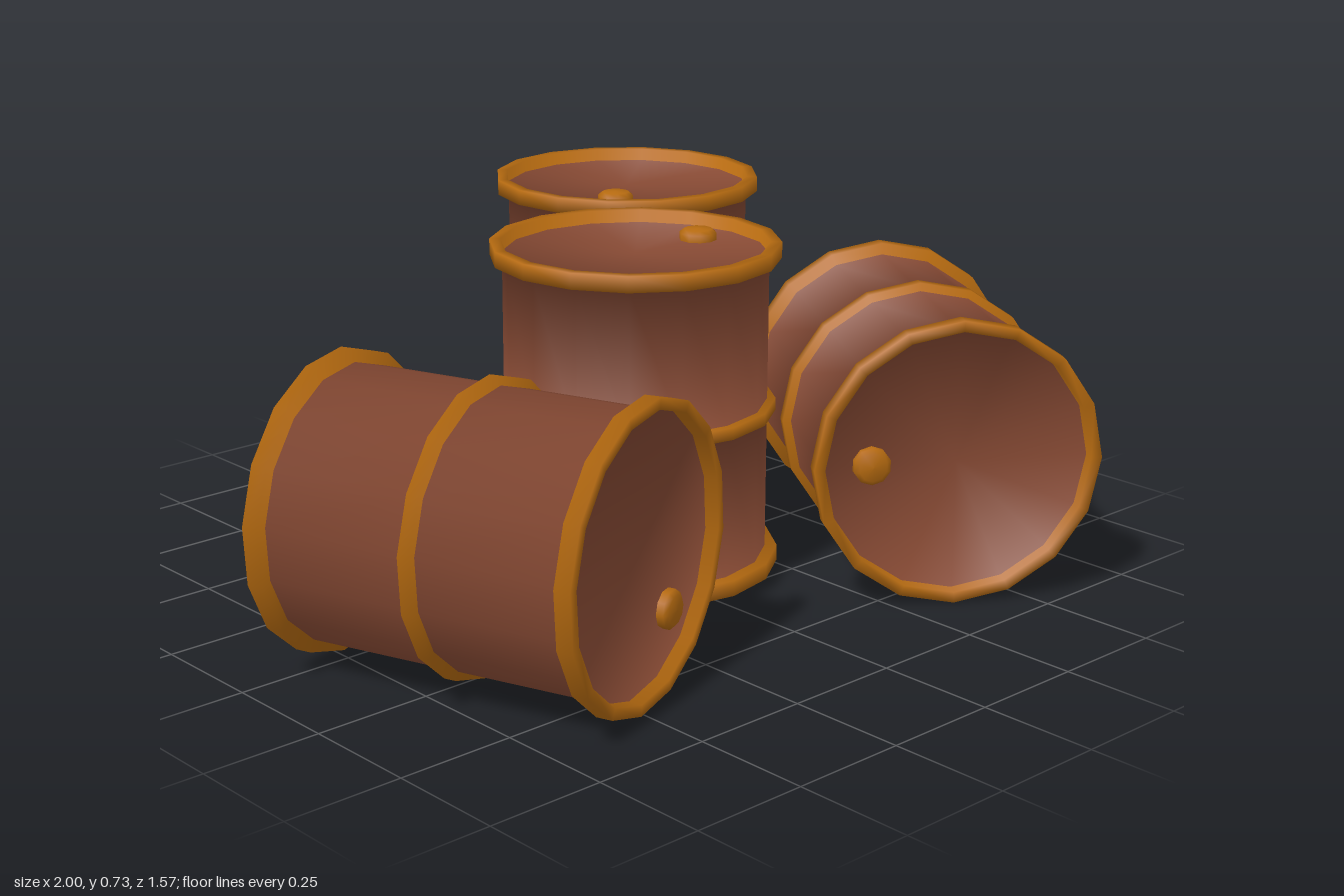
import * as THREE from 'three';

const SIDES = 16;

const rust = new THREE.MeshStandardMaterial({ color: 0x874a34 });
rust.name = 'rusty brown';
const ochre = new THREE.MeshStandardMaterial({ color: 0xb56a10 });
ochre.name = 'ochre hoop';

// Barrel half-section, from the bottom centre up to the top centre
const profile = [
  [0, -0.325], [0.28, -0.325],                                   // bottom lid
  [0.282, -0.352], [0.305, -0.352], [0.305, -0.318], [0.279, -0.318], // bottom hoop
  [0.279, -0.013], [0.297, -0.013], [0.297, 0.013], [0.279, 0.013],   // middle hoop
  [0.279, 0.318], [0.305, 0.318], [0.305, 0.352], [0.282, 0.352], // top hoop
  [0.28, 0.325], [0, 0.325],                                     // top lid
];

// Sections of the profile: name, first point, last point, material
const sections = [
  ['bottomLid', 0, 1, rust],
  ['bottomHoop', 1, 5, ochre],
  ['lowerWall', 5, 6, rust],
  ['middleHoop', 6, 9, ochre],
  ['upperWall', 9, 10, rust],
  ['topHoop', 10, 14, ochre],
  ['topLid', 14, 15, rust],
];

// Smooth normals: even average of the two neighbouring profile segments
function profileNormals(points) {
  const seg = points.slice(1).map(([r, y], i) =>
    new THREE.Vector2(y - points[i][1], points[i][0] - r).normalize());
  return points.map((p, i) => {
    const n = new THREE.Vector2();
    if (i > 0) n.add(seg[i - 1]);
    if (i < seg.length) n.add(seg[i]);
    return n.normalize();
  });
}

// Lathe one stretch of a profile, keeping normals continuous with its neighbours
function latheSection(points, from, to, sides) {
  const normals = profileNormals(points).slice(from, to + 1);
  const part = points.slice(from, to + 1).map(([r, y]) => new THREE.Vector2(r, y));
  const geometry = new THREE.LatheGeometry(part, sides);
  const attr = geometry.attributes.normal;
  for (let i = 0; i <= sides; i++) {
    const phi = (i / sides) * Math.PI * 2;
    normals.forEach((n, j) =>
      attr.setXYZ(i * normals.length + j, n.x * Math.sin(phi), n.y, n.x * Math.cos(phi)));
  }
  return geometry;
}

const sectionGeometries = sections.map(([, from, to]) => latheSection(profile, from, to, SIDES));

// Low rounded plug near the edge of the top lid
const plugProfile = [[0.04, 0], [0.04, 0.016], [0.03, 0.024], [0, 0.026]];
const plugGeometry = latheSection(plugProfile, 0, 3, 10);

function makeBarrel(name, spin) {
  const barrel = new THREE.Group();
  barrel.name = name;
  const body = new THREE.Group();
  body.name = 'barrelBody';
  body.rotation.y = THREE.MathUtils.degToRad(spin);
  sections.forEach(([part, , , material], i) => {
    const mesh = new THREE.Mesh(sectionGeometries[i], material);
    mesh.name = part;
    body.add(mesh);
  });
  const plug = new THREE.Mesh(plugGeometry, ochre);
  plug.name = 'plug';
  plug.position.set(0.18, 0.324, 0);
  body.add(plug);
  barrel.add(body);
  return barrel;
}

export function createModel() {
  const model = new THREE.Group();
  model.name = 'barrels';

  // name, position, plug angle, yaw of a lying barrel (null when standing)
  const layout = [
    ['standingBarrelCentre', [0, 0.383, 0.02], 0, null],
    ['standingBarrelBack', [0.43, 0.383, -0.482], 220, null],
    ['lyingBarrelRight', [-0.595, 0.31, 0.255], -52, 19.5],
    ['lyingBarrelLeft', [0.553, 0.31, 0.32], 180, -33.4],
  ];
  for (const [name, position, spin, yaw] of layout) {
    const barrel = makeBarrel(name, spin);
    barrel.position.set(...position);
    if (yaw !== null) {
      barrel.rotation.set(Math.PI / 2, THREE.MathUtils.degToRad(yaw), 0, 'YXZ');
    }
    model.add(barrel);
  }
  return model;
}
